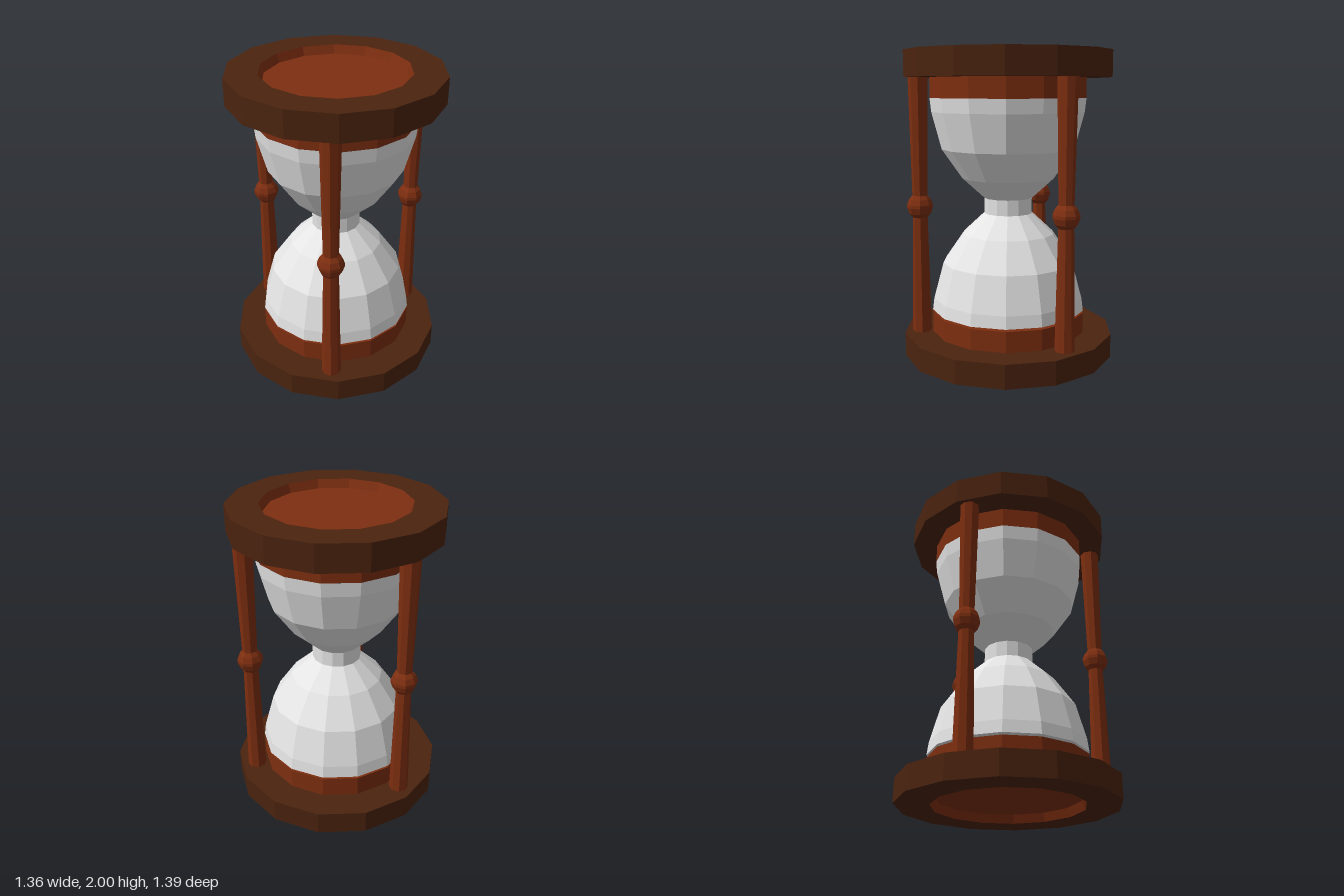
import * as THREE from 'three';

const SIDES = 14;

// Faceted turned shape; profile pairs [radius, y] run upward along the outside
function turned(name, profile, material, sides = SIDES) {
  const points = profile.map(([r, y]) => new THREE.Vector2(r, y));
  const geometry = new THREE.LatheGeometry(points, sides).toNonIndexed();
  geometry.computeVertexNormals();
  const mesh = new THREE.Mesh(geometry, material);
  mesh.name = name;
  return mesh;
}

export function createModel() {
  const darkWood = new THREE.MeshStandardMaterial({ color: 0x4a230f });
  darkWood.name = 'darkWood';
  const redWood = new THREE.MeshStandardMaterial({ color: 0x7d2e10 });
  redWood.name = 'redWood';
  const glass = new THREE.MeshStandardMaterial({ color: 0xe4e4e4 });
  glass.name = 'glass';

  const model = new THREE.Group();
  model.name = 'hourglass';

  // End discs with a round opening in their outer face
  model.add(
    turned('baseDisc', [[0.48, 0], [0.697, 0], [0.697, 0.155], [0, 0.155]], darkWood),
    turned('topDisc', [[0, 1.83], [0.672, 1.83], [0.672, 2], [0.467, 2]], darkWood),
  );

  // Shallow tapered recesses
  model.add(
    turned('baseRecess', [[0, 0.055], [0.455, 0.055], [0.48, 0]], redWood),
    turned('topRecess', [[0.467, 2], [0.447, 1.945], [0, 1.945]], redWood),
  );

  // Collars that hold the bulbs
  model.add(
    turned('lowerCollar', [[0.51, 0.155], [0.51, 0.29], [0, 0.29]], redWood),
    turned('upperCollar', [[0, 1.7], [0.51, 1.7], [0.51, 1.83]], redWood),
  );

  // Glass bulbs and the neck between them
  model.add(
    turned('lowerBulb', [[0, 0.305], [0.511, 0.305], [0.501, 0.385], [0.437, 0.62],
      [0.305, 0.81], [0.16, 0.945]], glass),
    turned('neck', [[0.16, 0.945], [0.16, 1.047]], glass),
    turned('upperBulb', [[0.16, 1.047], [0.305, 1.18], [0.437, 1.37], [0.501, 1.61],
      [0.511, 1.7]], glass),
  );

  // Three posts, each with a bead at mid height
  for (let i = 0; i < 3; i++) {
    const angle = (i * 2 * Math.PI) / 3;
    const post = new THREE.Group();
    post.name = `post${i + 1}`;
    post.add(
      turned('shaft', [[0.063, 0.15], [0.047, 1], [0.063, 1.835]], redWood, 8),
      turned('bead', [[0.044, 0.92], [0.07, 0.95], [0.084, 0.99], [0.084, 1.01],
        [0.07, 1.045], [0.044, 1.075]], redWood, 8),
    );
    post.position.set(0.58 * Math.cos(angle), 0, 0.583 * Math.sin(angle));
    post.rotation.y = -angle;
    model.add(post);
  }

  return model;
}
